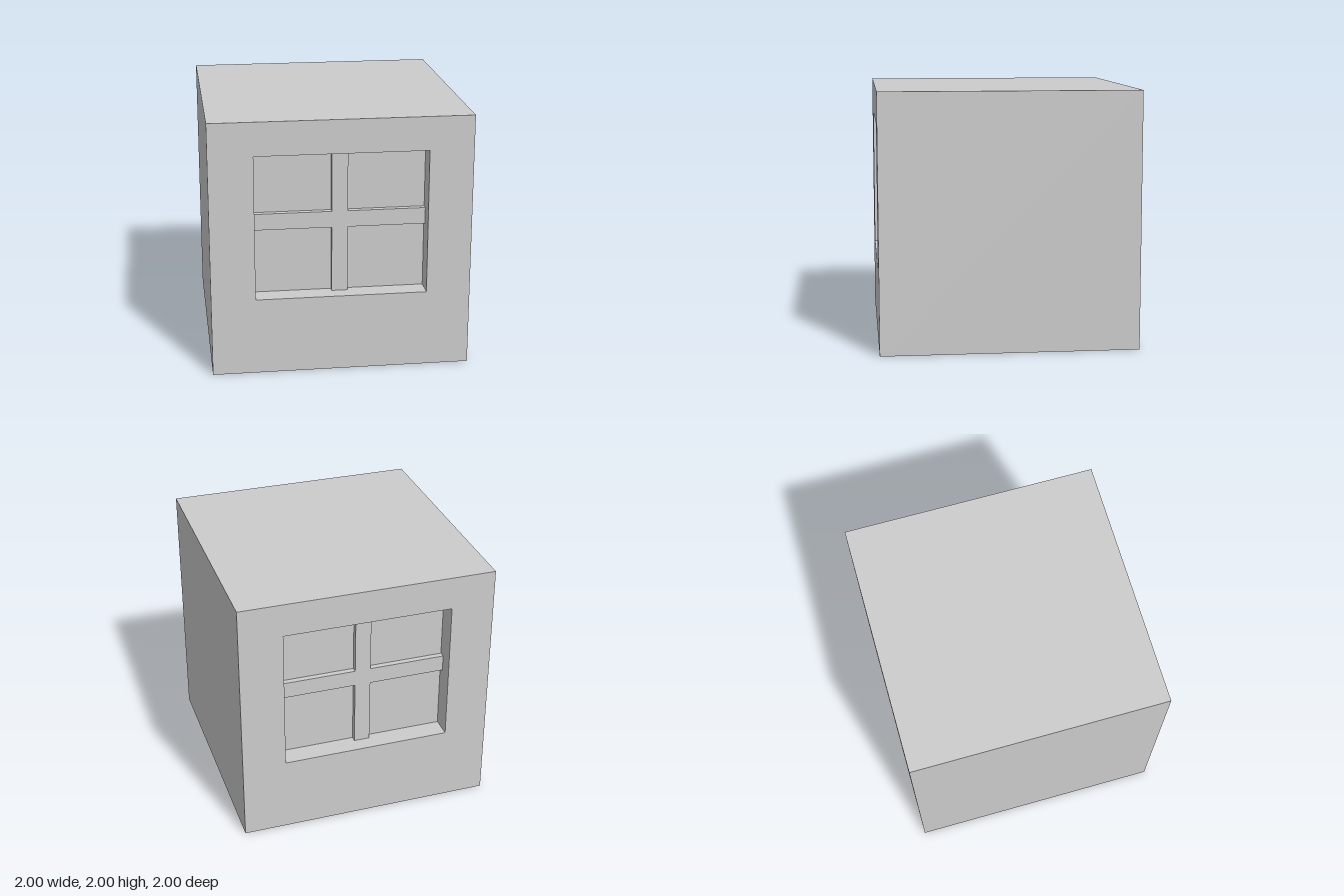
import * as THREE from 'three';

const SIZE = 2, HALF = SIZE / 2;
// Window opening, shared by the front and back walls
const WIN = { x: 0.66, bottom: 0.605, top: 1.738 };
// Glazing bars: half width of the upright, and the crossbar's lower and upper edges
const BAR = { x: 0.062, bottom: 1.123, top: 1.251 };
const PANE_Z = 0.835; // face of the recessed pane
const BAR_Z = 0.88;   // face of the glazing bars

const rectPoints = (x, y0, y1) => [[-x, y0], [x, y0], [x, y1], [-x, y1]].map(p => new THREE.Vector2(...p));

function extrude(shape, z0, z1) {
  const geometry = new THREE.ExtrudeGeometry(shape, { depth: z1 - z0, bevelEnabled: false });
  return geometry.translate(0, 0, z0);
}

export function createModel() {
  const model = new THREE.Group();
  model.name = 'windowedBlock';
  const grey = new THREE.MeshStandardMaterial({ color: 0xcccccc });
  grey.name = 'light grey';

  const add = (parent, name, geometry) => {
    const mesh = new THREE.Mesh(geometry, grey);
    mesh.name = name;
    parent.add(mesh);
  };

  // Cube body with the opening cut from front to back
  const body = new THREE.Shape(rectPoints(HALF, 0, SIZE));
  body.holes.push(new THREE.Path(rectPoints(WIN.x, WIN.bottom, WIN.top).reverse()));
  add(model, 'body', extrude(body, -HALF, HALF));

  // Core filling the opening; its two faces are the recessed panes
  add(model, 'panes', extrude(new THREE.Shape(rectPoints(WIN.x, WIN.bottom, WIN.top)), -PANE_Z, PANE_Z));

  // Cross-shaped glazing bars on both sides
  const cross = new THREE.Shape([
    [-BAR.x, WIN.bottom], [BAR.x, WIN.bottom], [BAR.x, BAR.bottom], [WIN.x, BAR.bottom],
    [WIN.x, BAR.top], [BAR.x, BAR.top], [BAR.x, WIN.top], [-BAR.x, WIN.top],
    [-BAR.x, BAR.top], [-WIN.x, BAR.top], [-WIN.x, BAR.bottom], [-BAR.x, BAR.bottom],
  ].map(p => new THREE.Vector2(...p)));
  const bars = extrude(cross, PANE_Z - 0.01, BAR_Z);
  ['front', 'back'].forEach((side, i) => {
    const window = new THREE.Group();
    window.name = side + 'Window';
    window.rotation.y = i * Math.PI;
    add(window, side + 'GlazingBars', bars);
    model.add(window);
  });

  return model;
}
